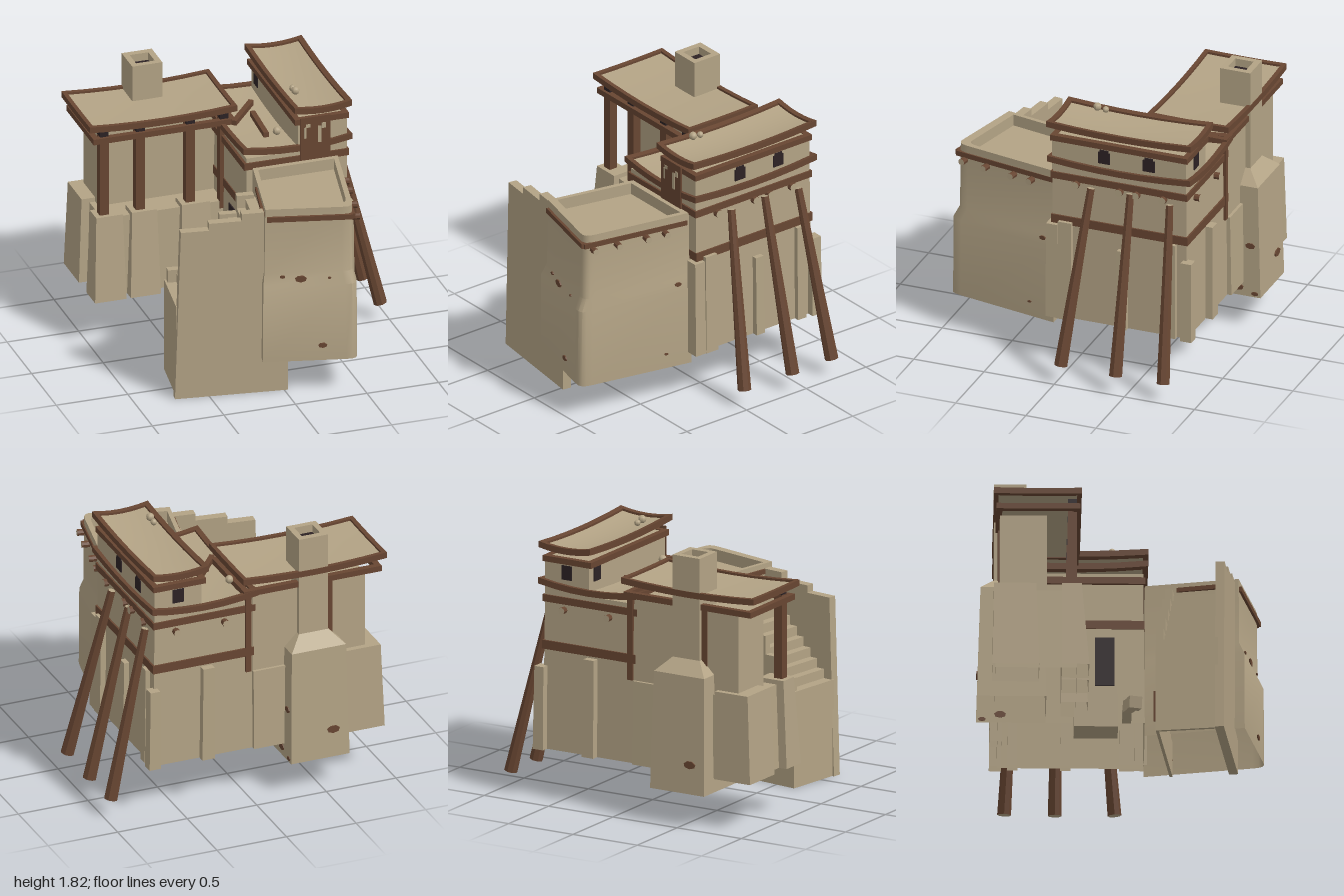
import * as THREE from 'three';
import { toCreasedNormals } from 'three/addons/utils/BufferGeometryUtils.js';

const mat = (name, color, side = THREE.FrontSide) => {
  const m = new THREE.MeshStandardMaterial({ color, side });
  m.name = name;
  return m;
};

export function createModel() {
  const root = new THREE.Group();
  const clay = mat('clay', 0xb3a385, THREE.DoubleSide), wood = mat('wood', 0x684632), dark = mat('dark opening', 0x2c2224);

  const add = (name, geo, m, parent = root) => {
    const mesh = new THREE.Mesh(toCreasedNormals(geo, 0.65), m);
    mesh.name = name;
    parent.add(mesh);
    return mesh;
  };
  const box = (name, m, x0, x1, y0, y1, z0, z1, parent) => {
    const mesh = add(name, new THREE.BoxGeometry(x1 - x0, y1 - y0, z1 - z0), m, parent);
    mesh.position.set((x0 + x1) / 2, (y0 + y1) / 2, (z0 + z1) / 2);
    return mesh;
  };
  // hollow shell: rings of matching corners from the bottom up, open below and closed on top
  const loft = (name, m, rings) => {
    const pos = [], n = rings[0].length;
    const tri = (...p) => p.forEach(v => pos.push(...v));
    const last = rings[rings.length - 1];
    const top = [0, 1, 2].map(k => last.reduce((s, p) => s + p[k], 0) / n);
    for (let i = 0; i < n; i++) {
      const j = (i + 1) % n;
      for (let k = 0; k + 1 < rings.length; k++) {
        const a = rings[k], b = rings[k + 1];
        tri(a[i], a[j], b[j]);
        tri(a[i], b[j], b[i]);
      }
      tri(top, last[i], last[j]);
    }
    const g = new THREE.BufferGeometry();
    g.setAttribute('position', new THREE.Float32BufferAttribute(pos, 3));
    return add(name, g, m);
  };
  const rect = (x0, x1, z0, z1, y) => [[x0, y, z1], [x1, y, z1], [x1, y, z0], [x0, y, z0]];
  // square beam between two points
  const beam = (name, m, a, b, w, h = w) => {
    const A = new THREE.Vector3(...a), B = new THREE.Vector3(...b);
    const mesh = add(name, new THREE.BoxGeometry(w, h, A.distanceTo(B)), m);
    mesh.position.copy(A).lerp(B, 0.5);
    mesh.lookAt(B);
    return mesh;
  };
  // faceted log with pale cut ends
  const log = (name, a, b, ra, rb) => {
    const A = new THREE.Vector3(...a), B = new THREE.Vector3(...b);
    const mesh = add(name, new THREE.CylinderGeometry(rb, ra, A.distanceTo(B), 8), [wood, clay, clay]);
    mesh.position.copy(A).lerp(B, 0.5);
    mesh.quaternion.setFromUnitVectors(new THREE.Vector3(0, 1, 0), B.clone().sub(A).normalize());
  };
  // straight band around a rectangular block
  const band = (name, x0, x1, y0, y1, z0, z1, t = 0.04) => {
    box(name, wood, x0, x1, y0, y1, z1 - t, z1);
    box(name, wood, x0, x1, y0, y1, z0, z0 + t);
    box(name, wood, x0, x0 + t, y0, y1, z0, z1);
    box(name, wood, x1 - t, x1, y0, y1, z0, z1);
  };
  // roof sagging along both axes: clay deck with a wooden rim bent by the same rule
  const roof = (name, x0, x1, z0, z1, y, sagX, sagZ, t = 0.035) => {
    const dip = (v, a, b) => 1 - ((2 * v - a - b) / (b - a)) ** 2;
    const piece = (part, m, a, b, lo, hi, c0, c1) => {
      const g = new THREE.BoxGeometry(b - a, hi - lo, c1 - c0, 6, 1, 6);
      g.translate((a + b) / 2, (lo + hi) / 2, (c0 + c1) / 2);
      const p = g.attributes.position;
      for (let i = 0; i < p.count; i++)
        p.setY(i, p.getY(i) - sagX * dip(p.getX(i), x0, x1) - sagZ * dip(p.getZ(i), z0, z1));
      add(`${name} ${part}`, g, m);
    };
    piece('deck', clay, x0 + t, x1 - t, y - 0.035, y - 0.015, z0 + t, z1 - t);
    piece('rim', wood, x0, x1, y - 0.042, y, z1 - t, z1);
    piece('rim', wood, x0, x1, y - 0.042, y, z0, z0 + t);
    piece('rim', wood, x0, x0 + t, y - 0.042, y, z0 + t, z1 - t);
    piece('rim', wood, x1 - t, x1, y - 0.042, y, z0 + t, z1 - t);
  };

  // main tower
  loft('tower body', clay, [rect(-0.06, 0.66, -0.81, 0.16, 0.33), rect(-0.05, 0.65, -0.8, 0.15, 1.42)]);
  band('lower band', -0.06, 0.665, 1.015, 1.075, -0.815, 0.157);
  band('upper band', -0.07, 0.662, 1.34, 1.388, -0.812, 0.163);
  roof('terrace', -0.08, 0.68, -0.84, 0.18, 1.507, 0.035, 0.027);
  box('upper room', clay, 0.31, 0.65, 1.4, 1.65, -0.8, 0.155);
  band('room band', 0.285, 0.662, 1.615, 1.655, -0.812, 0.165);
  roof('upper roof', 0.275, 0.675, -0.84, 0.19, 1.757, 0.022, 0.02);

  // weathered front door of the upper room
  box('door', wood, 0.315, 0.525, 1.36, 1.67, 0.173, 0.182);
  [[0.35, 1.56, 0.015, 0.08], [0.45, 1.54, 0.025, 0.12], [0.48, 1.6, 0.03, 0.04], [0.37, 1.61, 0.03, 0.025]].forEach(([x, y, w, h]) =>
    box('door patch', clay, x - w / 2, x + w / 2, y - h / 2, y + h / 2, 0.18, 0.185));

  // windows
  [-0.215, -0.535].forEach(z => {
    box('window', dark, 0.65, 0.658, 1.508, 1.59, z - 0.042, z + 0.042);
    box('window head', dark, 0.65, 0.658, 1.59, 1.606, z - 0.03, z + 0.03);
  });
  box('back window', dark, 0.44, 0.52, 1.508, 1.606, -0.806, -0.798);
  box('side window', dark, 0.304, 0.312, 1.508, 1.606, -0.74, -0.66);
  box('courtyard door', dark, -0.066, -0.058, 0.6, 0.95, -0.17, -0.04);

  // pilasters: x0, x1, z0, z1, top
  [[0.6, 0.695, 0.1, 0.185, 1.01], [0.6, 0.7, 0, 0.1, 1.04], [0.62, 0.7, -0.39, -0.32, 0.9],
    [0.62, 0.695, -0.74, -0.67, 1.01], [0.63, 0.71, -0.86, -0.78, 0.9], [0.24, 0.33, -0.86, -0.78, 1.0]].forEach(
    ([x0, x1, z0, z1, h]) => loft('pilaster', clay, [rect(x0, x1, z0, z1, 0.33), rect(x0, x1 - 0.01, z0 + 0.005, z1, h)]));

  // leaning props and protruding log ends
  log('prop', [0.945, 0.12, -0.025], [0.67, 1.32, -0.13], 0.046, 0.026);
  log('prop', [0.955, 0.12, -0.42], [0.67, 1.33, -0.41], 0.046, 0.026);
  log('prop', [0.945, 0.12, -0.755], [0.67, 1.3, -0.69], 0.046, 0.026);
  [-0.02, -0.33, -0.45, -0.64].forEach(z => log('log end', [0.6, 1.325, z], [0.685, 1.325, z], 0.027, 0.027));
  [0.15, 0.5].forEach(x => log('log end', [x, 1.3, -0.75], [x, 1.3, -0.84], 0.024, 0.024));

  // pots and loose planks on the roofs
  [[0.36, 1.765, -0.05, 0.028], [0.36, 1.755, -0.11, 0.022], [0.22, 1.505, -0.02, 0.028], [0.04, 1.51, -0.63, 0.028]].forEach(([x, y, z, r]) => {
    const pot = add('pot', new THREE.SphereGeometry(r, 8, 6), clay);
    pot.position.set(x, y, z);
  });
  beam('loose plank', wood, [0.21, 1.49, -0.51], [0, 1.49, -0.25], 0.035);
  beam('loose plank', wood, [0.17, 1.48, -0.37], [0.15, 1.48, -0.03], 0.035);

  // west house with open porch
  loft('house base', clay, [rect(-0.92, -0.05, -0.84, -0.3, 0.33), rect(-0.9, -0.05, -0.83, -0.31, 0.9)]);
  box('house wall', clay, -0.86, -0.05, 0.9, 1.465, -0.81, -0.5);
  band('house beam', -0.97, 0.02, 1.465, 1.505, -0.835, -0.28);
  roof('house roof', -1, 0.03, -0.85, -0.27, 1.605, 0.022, 0.004, 0.03);
  [-0.888, -0.635, -0.286, -0.05].forEach(x => {
    box('porch post', wood, x - 0.032, x + 0.032, 0.85, 1.505, -0.36, -0.3);
    box('porch post head', dark, x - 0.03, x + 0.03, 1.505, 1.56, -0.36, -0.3);
  });
  [[-0.98, -0.76], [-0.73, -0.52], [-0.38, -0.15]].forEach(([a, b]) =>
    loft('porch pillar', clay, [rect(a, b, -0.4, -0.22, 0.33), rect(a + 0.025, b - 0.01, -0.4, -0.27, 0.93)]));
  loft('corner buttress', clay, [rect(-0.98, -0.7, -0.86, -0.55, 0.33), rect(-0.955, -0.7, -0.85, -0.57, 0.93)]);
  [-0.02, -0.6].forEach(x => box('back post', wood, x - 0.02, x + 0.02, 0.9, 1.47, -0.82, -0.79));

  // chimney: buttress, sloped shoulder, hollow stack
  loft('chimney', clay, [
    rect(-0.685, -0.265, -0.96, -0.5, 0.23), rect(-0.67, -0.28, -0.935, -0.52, 1.03),
    rect(-0.58, -0.37, -0.845, -0.63, 1.12), rect(-0.58, -0.37, -0.845, -0.63, 1.82),
    rect(-0.54, -0.41, -0.8, -0.67, 1.82), rect(-0.54, -0.41, -0.8, -0.67, 1.76)]);
  box('flue', dark, -0.54, -0.41, 1.757, 1.765, -0.8, -0.67);

  // front bastion with one softened corner, battered foot and parapet
  const plan = [[-0.165, 0.8], [0.37, 0.925], [0.415, 0.933], [0.443, 0.922], [0.458, 0.9], [0.47, 0.86], [0.615, 0.16], [-0.03, 0.16]];
  const ring = (sx, sz, y) => plan.map(([x, z]) => [0.22 + (x - 0.22) * sx, y, 0.16 + (z - 0.16) * sz]);
  const inner = y => plan.map(([x, z]) => [0.22 + (x - 0.22) * 0.82, y, 0.2 + (z - 0.16) * 0.83]);
  loft('bastion', clay, [ring(1, 1.03, 0.25), ring(0.99, 1.025, 0.8), ring(0.94, 0.972, 0.88), ring(0.92, 0.967, 1.35), inner(1.35), inner(1.27)]);
  const rail = [[-0.125, 1.28, 0.785], [0.43, 1.28, 0.92], [0.57, 1.28, 0.17]];
  beam('bastion rail', wood, rail[0], rail[1], 0.03, 0.035);
  beam('bastion rail', wood, rail[1], rail[2], 0.03, 0.035);
  beam('stair head trim', wood, [-0.138, 1.3, 0.74], [-0.055, 1.3, 0.37], 0.018, 0.03);
  [[0.57, 0.34], [0.545, 0.48], [0.505, 0.69], [0.465, 0.86]].forEach(([x, z]) =>
    log('bastion log end', [x - 0.05, 1.245, z - 0.01], [x + 0.03, 1.245, z + 0.006], 0.023, 0.023));
  beam('bastion hatch', dark, [-0.09, 0.36, 0.5], [-0.1, 0.36, 0.6], 0.03, 0.16);
  beam('bastion side door', wood, [-0.03, 0.46, 0.22], [-0.045, 0.46, 0.32], 0.03, 0.22);

  // hollow outer stair with stepped parapet
  const stair = new THREE.Group();
  stair.name = 'outer stair';
  stair.position.set(-0.37, 0, 0.49);
  stair.rotation.y = -0.14;
  root.add(stair);
  box('stair end wall', clay, -0.315, -0.295, 0, 0.66, -0.22, 0.19, stair);
  box('stair north wall', clay, -0.315, 0.33, 0, 0.66, -0.225, -0.205, stair);
  box('stair north footing', clay, 0.33, 0.42, 0, 0.25, -0.225, -0.205, stair);
  for (let i = 0; i < 10; i++) {
    const x = -0.3 + i * 0.058, h = 0.66 + i * 0.063;
    box('step', clay, x, x + 0.07, h - 0.12, h, -0.2, 0.19, stair);
  }
  for (let i = 0; i < 5; i++) box('low kerb', clay, -0.3 + i * 0.116, -0.184 + i * 0.116, 0.6, 0.75 + i * 0.126, -0.225, -0.175, stair);
  const wall = new THREE.Shape([[-0.33, 0], [0.43, 0], [0.43, 0.24], [0.27, 0.26], [0.27, 1.32], [0.12, 1.32], [0.12, 1.27],
    [-0.1, 1.27], [-0.1, 1.22], [-0.29, 1.22]].map(p => new THREE.Vector2(...p)));
  add('stair parapet', new THREE.ExtrudeGeometry(wall, { depth: 0.06, bevelEnabled: false }), clay, stair).position.z = 0.17;

  // courtyard steps and kerb
  for (let i = 0; i < 4; i++) box('courtyard step', clay, -0.24 + i * 0.045, -0.05, 0.22, 0.36 + i * 0.07, -0.31, -0.02);
  beam('courtyard kerb', clay, [-0.05, 0.38, 0.04], [-0.25, 0.38, 0.04], 0.06, 0.1);
  beam('courtyard kerb', clay, [-0.24, 0.36, 0.04], [-0.36, 0.33, 0.075], 0.06, 0.08);
  beam('courtyard kerb', clay, [-0.35, 0.33, 0.075], [-0.43, 0.31, 0.095], 0.085, 0.08);

  // exposed patches in the plaster
  const patch = (x, y, z, r, ry) => {
    const m = add('plaster patch', new THREE.CylinderGeometry(r, r, 0.009, 7).rotateX(Math.PI / 2), wood);
    m.position.set(x, y, z);
    m.rotation.y = ry;
    m.scale.y = 0.6;
  };
  patch(0.085, 0.845, 0.863, 0.04, -0.23);
  patch(-0.03, 0.86, 0.825, 0.018, -0.23);
  patch(0.27, 0.845, 0.907, 0.012, -0.23);
  patch(0.22, 0.36, 0.916, 0.03, -0.23);
  patch(0.585, 0.845, 0.25, 0.025, 1.37);
  patch(0.58, 0.355, 0.345, 0.014, 1.37);
  patch(-0.27, 0.6, -0.885, 0.035, 1.57);
  patch(-0.265, 0.29, -0.8, 0.04, 1.57);
  patch(-0.265, 0.255, -0.92, 0.025, 1.57);
  patch(-0.57, 0.43, -0.957, 0.045, 0);
  return root;
}
